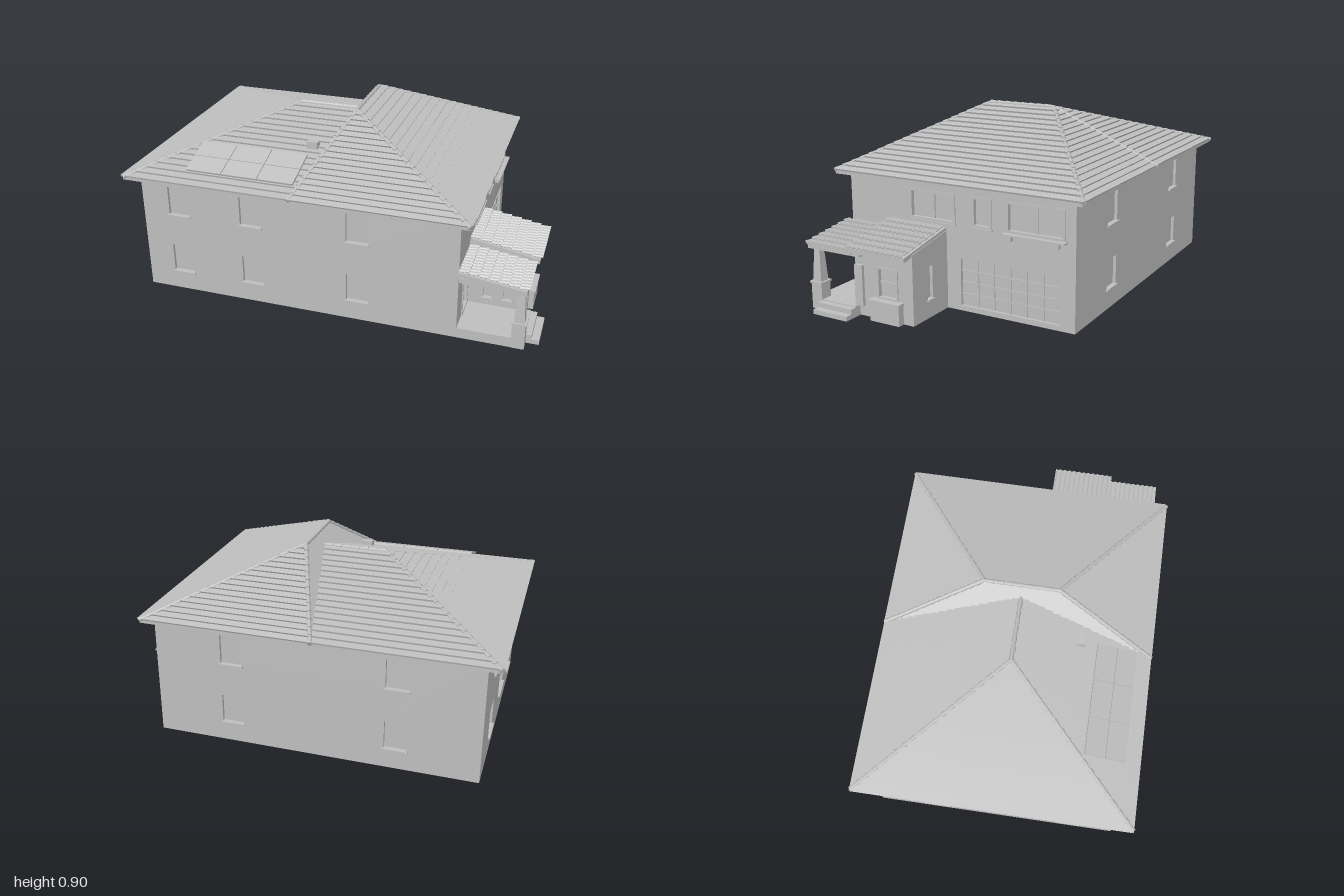
import * as THREE from 'three';

export function createModel() {
  const house = new THREE.Group();
  house.name = 'house';
  const grey = new THREE.MeshStandardMaterial({ color: 0xbebebe, side: THREE.DoubleSide });
  grey.name = 'plain grey';

  const add = (parent, name, geometry) => {
    const mesh = new THREE.Mesh(geometry, grey);
    mesh.name = name;
    parent.add(mesh);
    return mesh;
  };
  // Box given by its limits on each axis
  const box = (parent, name, x0, x1, y0, y1, z0, z1) => {
    const mesh = add(parent, name, new THREE.BoxGeometry(x1 - x0, y1 - y0, z1 - z0));
    mesh.position.set((x0 + x1) / 2, (y0 + y1) / 2, (z0 + z1) / 2);
    return mesh;
  };
  const rect = (Type, x0, x1, y0, y1) => new Type().moveTo(x0, y0).lineTo(x1, y0).lineTo(x1, y1).lineTo(x0, y1).closePath();

  // Window or door set into a wall: recessed pane, border, glazing bars, sill
  function opening(wallGroup, o) {
    const g = new THREE.Group();
    g.name = o.name || 'window';
    wallGroup.add(g);
    const { u: [a, b], y: [c, d], cols = 1, rows = 1, bar = 0.006, front = -0.008 } = o;
    box(g, 'pane', a, b, c, d, -0.019, -0.015);
    if (o.frame) {
      box(g, 'frameSide', a, a + 0.01, c, d, -0.017, 0.005);
      box(g, 'frameSide', b - 0.01, b, c, d, -0.017, 0.005);
      box(g, 'frameTop', a, b, d - 0.01, d, -0.017, 0.005);
      box(g, 'frameBottom', a, b, c, c + 0.01, -0.017, 0.005);
    }
    for (let i = 1; i < cols; i++) {
      const u = a + (b - a) * i / cols;
      box(g, 'uprightBar', u - bar, u + bar, c, d, -0.017, front);
    }
    for (let j = 1; j < rows; j++) {
      const y = c + (d - c) * j / rows;
      box(g, 'crossBar', a, b, y - bar, y + bar, -0.017, front);
    }
    if (o.sill !== false) box(g, 'sill', a - 0.006, b + 0.006, c - 0.008, c, -0.017, 0.01);
  }

  // Wall facing its local +z, with pierced openings
  function wall(name, x, z, turn, u0, u1, h0, h1, openings) {
    const g = new THREE.Group();
    g.name = name;
    g.position.set(x, 0, z);
    g.rotation.y = turn;
    house.add(g);
    const shape = new THREE.Shape().moveTo(u0, 0).lineTo(u1, 0).lineTo(u1, h1).lineTo(u0, h0).closePath();
    for (const o of openings) {
      shape.holes.push(rect(THREE.Path, o.u[0], o.u[1], o.y[0], o.y[1]));
      opening(g, o);
    }
    const geo = new THREE.ExtrudeGeometry(shape, { depth: 0.02, bevelEnabled: false });
    geo.translate(0, 0, -0.02);
    add(g, 'wallPanel', geo);
    return g;
  }

  const low = [0.1, 0.24], high = [0.41, 0.555];
  const stacked = (centres) => centres.flatMap((m) => [low, high].map((y) => ({ u: [m - 0.053, m + 0.053], y })));
  const half = Math.PI / 2;

  // Main walls
  wall('frontWall', 0, 0.605, 0, -0.93, 0.63, 0.6, 0.6, stacked([-0.74, -0.37, 0.155]));
  wall('backWall', 0, -0.605, Math.PI, -0.63, 0.93, 0.6, 0.6, stacked([-0.25, 0.54]));
  wall('plainEndWall', -0.93, 0, -half, -0.605, 0.605, 0.6, 0.6, [
    { u: [-0.37, -0.24], y: low }, { u: [-0.03, 0.13], y: [0.14, 0.24] }, { u: [0.32, 0.43], y: low },
    { u: [-0.33, -0.2], y: high }, { u: [0.35, 0.46], y: high }]);
  const entrance = wall('entranceWall', 0.63, 0, half, -0.605, 0.605, 0.6, 0.6, [
    { u: [-0.255, -0.005], y: [0.412, 0.553], cols: 2, frame: true },
    { u: [0.087, 0.187], y: [0.412, 0.553], frame: true },
    { u: [0.265, 0.555], y: [0.412, 0.553], cols: 2, frame: true },
    { name: 'garageDoor', u: [0.02, 0.53], y: [0.025, 0.25], cols: 6, rows: 4, bar: 0.004, front: -0.01, sill: false },
    { name: 'frontDoor', u: [-0.5, -0.375], y: [0.05, 0.275], frame: true, sill: false }]);
  box(entrance, 'doorHandle', -0.4, -0.395, 0.14, 0.165, -0.016, 0.004);
  box(entrance, 'windowShelf', 0.255, 0.565, 0.403, 0.411, 0, 0.03);
  for (const u of [0.29, 0.525]) box(entrance, 'shelfBracket', u - 0.006, u + 0.006, 0.377, 0.403, 0, 0.02);

  // Projecting room beside the door
  wall('roomFront', 0.9, 0, half, -0.37, -0.055, 0.33, 0.33, [
    { u: [-0.25, -0.135], y: [0.1, 0.25], rows: 2, frame: true, sill: false }]);
  wall('roomPorchSide', 0, 0.37, 0, 0.63, 0.9, 0.375, 0.33, [
    { u: [0.705, 0.745], y: [0.09, 0.245] }, { u: [0.8, 0.84], y: [0.09, 0.245] }]);
  wall('roomGarageSide', 0, 0.055, Math.PI, -0.9, -0.63, 0.33, 0.375, [
    { u: [-0.79, -0.75], y: [0.09, 0.245] }]);
  box(house, 'planter', 0.9, 0.935, 0, 0.095, 0.11, 0.27);
  box(house, 'planterRim', 0.9, 0.94, 0.095, 0.102, 0.105, 0.275);
  box(house, 'cornerPilaster', 0.9, 0.915, 0.05, 0.245, 0.325, 0.37);

  // Porch floor, steps and tapered column
  box(house, 'porchFloor', 0.63, 0.935, 0, 0.05, 0.355, 0.605);
  box(house, 'upperStep', 0.935, 0.965, 0, 0.045, 0.355, 0.55);
  box(house, 'lowerStep', 0.935, 1.0, 0, 0.022, 0.355, 0.55);
  box(house, 'columnBase', 0.88, 0.94, 0, 0.125, 0.547, 0.607);
  box(house, 'columnCap', 0.875, 0.945, 0.125, 0.133, 0.542, 0.612);
  const column = add(house, 'column', new THREE.CylinderGeometry(0.022, 0.035, 0.155, 4).toNonIndexed());
  column.geometry.computeVertexNormals();
  column.rotation.y = Math.PI / 4;
  column.position.set(0.91, 0.21, 0.577);
  box(house, 'porchFrontBeam', 0.895, 0.925, 0.285, 0.31, 0.33, 0.615);
  box(house, 'porchSideBeam', 0.63, 0.9, 0.285, 0.31, 0.56, 0.595);

  // Tiled slope: a, b are the eave corners and c, d the upper ones, seen from outside
  const V = (x, y, z) => new THREE.Vector3(x, y, z);
  function tiles(name, a, b, c, d, courses, lift, ripples = 0) {
    const normal = b.clone().sub(a).cross(d.clone().sub(a)).normalize();
    const segs = ripples ? ripples * 6 : 1;
    const out = [];
    const at = (s, t, h) => {
      const wave = ripples ? 0.004 * Math.cos(s * ripples * 2 * Math.PI) : 0;
      return a.clone().lerp(d, t).lerp(b.clone().lerp(c, t), s).addScaledVector(normal, h + wave);
    };
    const quad = (p, q, r, s) => [p, q, r, p, r, s].forEach((v) => out.push(v.x, v.y, v.z));
    for (let i = 0; i < courses; i++) {
      for (let k = 0; k < segs; k++) {
        const s0 = k / segs, s1 = (k + 1) / segs, t0 = i / courses, t1 = (i + 1) / courses;
        quad(at(s0, t0, 0), at(s1, t0, 0), at(s1, t0, lift), at(s0, t0, lift));
        quad(at(s0, t0, lift), at(s1, t0, lift), at(s1, t1, 0), at(s0, t1, 0));
      }
    }
    const geo = new THREE.BufferGeometry();
    geo.setAttribute('position', new THREE.Float32BufferAttribute(out, 3));
    geo.computeVertexNormals();
    add(house, name, geo);
  }

  // Main roof: a taller hip across the entrance end, a lower one behind it
  const E = 0.605, Z = 0.66, X = 0.685, M = -0.155;
  const peakF = V(0.02, 0.885, 0.18), peakB = V(0.02, 0.885, -0.18);
  const ridgeW = V(-0.33, 0.825, 0), ridgeE = V(-0.017, 0.825, 0);
  const corner = (x, side) => V(x, E, side * Z);
  tiles('tallRoofEntranceSlope', corner(X, 1), corner(X, -1), peakB, peakF, 17, 0.009);
  tiles('tallRoofFrontSlope', corner(M, 1), corner(X, 1), peakF, peakF, 17, 0.009);
  tiles('tallRoofBackSlope', corner(X, -1), corner(M, -1), peakB, peakB, 17, 0.009);
  tiles('tallRoofInnerSlope', corner(M, -1), corner(M, 1), peakF, peakB, 17, 0.005);
  tiles('lowRoofFrontSlope', corner(-1, 1), corner(M, 1), ridgeE, ridgeW, 17, 0.009);
  tiles('lowRoofBackSlope', corner(M, -1), corner(-1, -1), ridgeW, ridgeE, 17, 0.009);
  tiles('lowRoofEndSlope', corner(-1, -1), corner(-1, 1), ridgeW, ridgeW, 17, 0.009);

  // Eaves ring
  const ring = rect(THREE.Shape, -0.995, 0.68, -0.655, 0.655);
  ring.holes.push(rect(THREE.Path, -0.92, 0.62, -0.595, 0.595));
  const eaves = add(house, 'eaves', new THREE.ExtrudeGeometry(ring, { depth: 0.018, bevelEnabled: false }));
  eaves.rotation.x = -half;
  eaves.position.y = 0.588;

  // Overlapping cap tiles along hips and ridges
  function caps(name, from, to) {
    const dir = to.clone().sub(from), n = Math.round(dir.length() / 0.045);
    const step = dir.length() / n;
    for (let i = 0; i < n; i++) {
      const cap = add(house, name, new THREE.CylinderGeometry(0.008, 0.012, step * 1.05, 8));
      cap.position.copy(from).addScaledVector(dir, (i + 0.5) / n);
      cap.quaternion.setFromUnitVectors(V(0, 1, 0), dir.clone().normalize());
    }
  }
  for (const side of [1, -1]) {
    const peak = side > 0 ? peakF : peakB;
    caps('hipCap', corner(X - 0.005, side), peak);
    caps('hipCap', corner(M, side), peak);
    caps('hipCap', corner(-0.99, side), ridgeW);
  }
  caps('ridgeCap', peakF, peakB);
  caps('ridgeCap', ridgeW, ridgeE);

  // Solar panels, three by two, lying on the low front slope
  const solar = new THREE.Group();
  solar.name = 'solarPanels';
  solar.position.set(-0.425, 0.677, 0.4875);
  solar.rotation.x = Math.atan2(0.22, 0.66);
  house.add(solar);
  for (let i = -1; i <= 1; i++) {
    for (const j of [-1, 1]) {
      const x = i * 0.18, z = j * 0.052;
      box(solar, 'solarPanel', x - 0.0885, x + 0.0885, 0, 0.01, z - 0.0505, z + 0.0505);
    }
  }
  box(house, 'roofVent', -0.185, -0.13, 0.71, 0.755, 0.295, 0.33);

  // Porch roofs with rounded tiles over sloping decks
  function leanTo(name, z0, z1, x1, yTop, yEave, ripples) {
    tiles(name + 'Tiles', V(x1, yEave, z1), V(x1, yEave, z0), V(0.63, yTop, z0), V(0.63, yTop, z1), 7, 0.009, ripples);
    const x2 = x1 - 0.01;
    const deck = new THREE.Shape().moveTo(0.63, yTop - 0.005).lineTo(0.63, yTop - 0.025)
      .lineTo(x2, yEave - 0.025).lineTo(x2, yEave - 0.004).closePath();
    const geo = new THREE.ExtrudeGeometry(deck, { depth: z1 - z0 - 0.006, bevelEnabled: false });
    geo.translate(0, 0, z0 + 0.003);
    add(house, name + 'Deck', geo);
  }
  leanTo('roomRoof', 0.055, 0.37, 0.965, 0.395, 0.335, 12);
  leanTo('porchRoof', 0.37, 0.625, 0.945, 0.357, 0.314, 10);

  return house;
}
